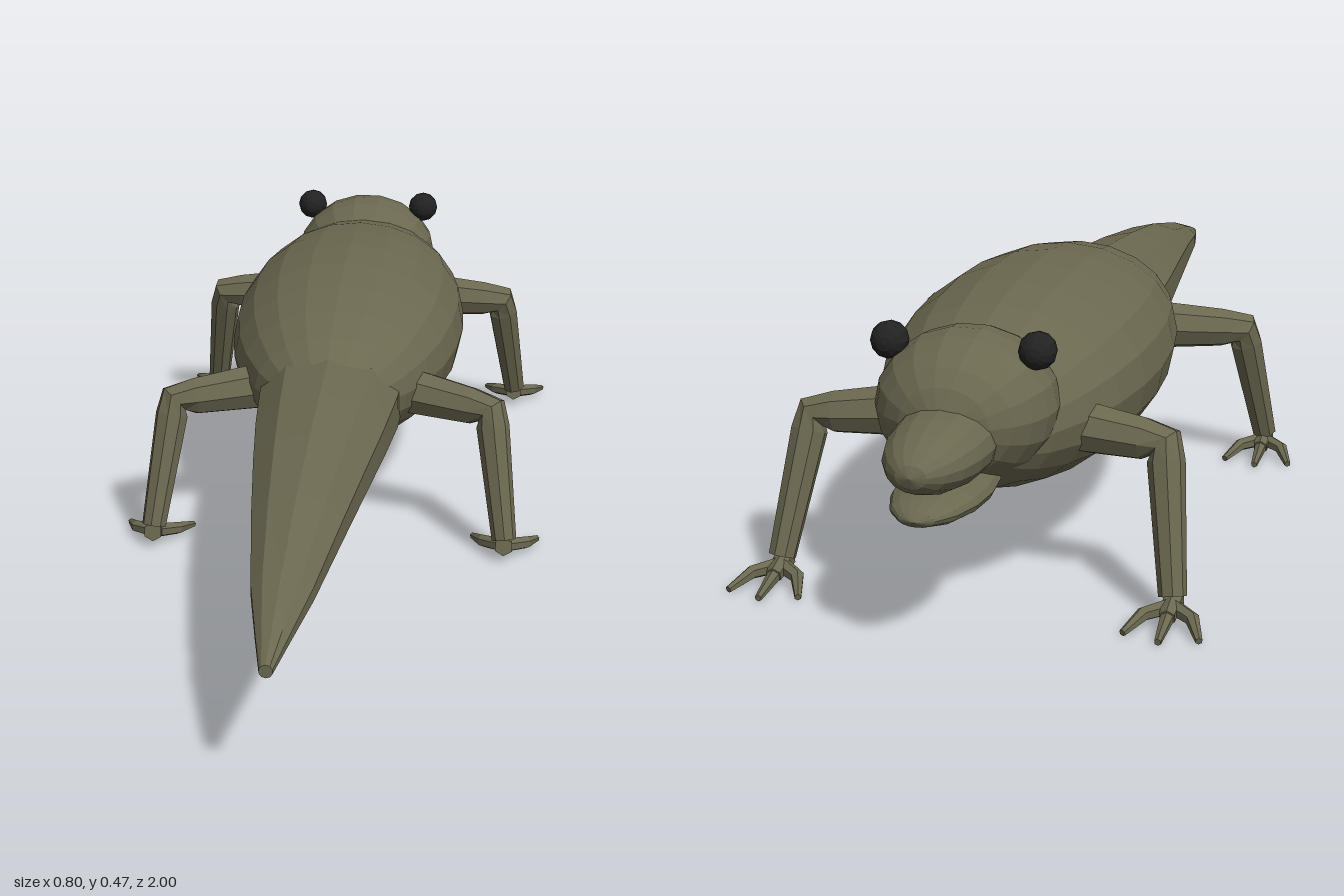
import * as THREE from 'three';

const skin = new THREE.MeshStandardMaterial({ color: 0x6b6850 });
skin.name = 'olive skin';
const eyeBlack = new THREE.MeshStandardMaterial({ color: 0x222222 });
eyeBlack.name = 'eye black';

const V = (x, y, z) => new THREE.Vector3(x, y, z);

function add(parent, geometry, name, material = skin) {
  // facets throughout: split the vertices so every face has its own normal
  const g = geometry.index ? geometry.toNonIndexed() : geometry;
  g.computeVertexNormals();
  const mesh = new THREE.Mesh(g, material);
  mesh.name = name;
  parent.add(mesh);
  return mesh;
}

// Faceted ellipsoid with its poles on the z axis
function ellipsoid(center, radii, sides, rings) {
  return new THREE.SphereGeometry(1, sides, rings)
    .rotateX(Math.PI / 2).scale(...radii).translate(...center);
}

// Lofted tube through sections { c: centre, u, v: half-axis vectors }, capped at both ends
function loft(sections, sides) {
  const pos = [], idx = [];
  for (const { c, u, v } of sections) {
    for (let i = 0; i < sides; i++) {
      const a = (i / sides) * Math.PI * 2;
      const p = c.clone().addScaledVector(u, Math.cos(a)).addScaledVector(v, Math.sin(a));
      pos.push(p.x, p.y, p.z);
    }
  }
  const last = sections.length - 1;
  for (let s = 0; s < last; s++) {
    for (let i = 0; i < sides; i++) {
      const j = (i + 1) % sides, a = s * sides, b = a + sides;
      idx.push(a + i, a + j, b + i, a + j, b + j, b + i);
    }
  }
  for (let i = 1; i < sides - 1; i++) {
    idx.push(0, i + 1, i, last * sides, last * sides + i, last * sides + i + 1);
  }
  const g = new THREE.BufferGeometry();
  g.setAttribute('position', new THREE.Float32BufferAttribute(pos, 3));
  g.setIndex(idx);
  return g;
}

// Limb along a polyline with one radius per point, mitred at the bends
function limb(points, radii, sides) {
  const ref = Math.abs(points[1].clone().sub(points[0]).normalize().y) > 0.8 ? V(0, 0, 1) : V(0, 1, 0);
  let u = ref;
  return loft(points.map((c, i) => {
    const inn = c.clone().sub(points[Math.max(i - 1, 0)]).normalize();
    const out = points[Math.min(i + 1, points.length - 1)].clone().sub(c).normalize();
    const t = inn.add(out).normalize();
    u = u.clone().addScaledVector(t, -u.dot(t)).normalize();
    const v = t.clone().cross(u);
    return { c, u: u.clone().multiplyScalar(radii[i]), v: v.multiplyScalar(radii[i]) };
  }), sides);
}

function leg(hip, knee, ankle, side, name) {
  const group = new THREE.Group();
  group.name = name;
  const at = (p, dx = 0, y = p[1], dz = 0) => V(side * (p[0] + dx), y, p[2] + dz);
  const h = at(hip), k = at(knee), a = at(ankle);
  // thigh and shin in one bent piece
  add(group, limb([h, h.clone().lerp(k, 0.75), k, k.clone().lerp(a, 0.12), a],
    [0.045, 0.036, 0.031, 0.031, 0.023], 8), 'legLimb');
  // foot: a small palm and three toes pointing forward
  add(group, limb([at(ankle, 0, 0.032, 0.015), at(ankle, 0, 0.02, -0.04)], [0.018, 0.014], 6), 'palm');
  for (const s of [-1, 0, 1]) {
    const reach = s ? -0.085 : -0.105;
    add(group, limb([at(ankle, 0, 0.026, -0.005), at(ankle, s * 0.04, 0.02, -0.035),
      at(ankle, s * 0.061, 0.007, reach)], [0.014, 0.012, 0.006], 6), 'toe');
  }
  return group;
}

export function createModel() {
  const model = new THREE.Group();
  model.name = 'lizard';

  // trunk, head and jaws
  add(model, ellipsoid([0, 0.302, -0.33], [0.23, 0.169, 0.5], 20, 14), 'body');
  add(model, ellipsoid([0, 0.34, -0.715], [0.148, 0.124, 0.143], 18, 12), 'head');
  add(model, ellipsoid([0, 0.312, -0.84], [0.082, 0.06, 0.16], 16, 10), 'upperJaw');
  add(model, ellipsoid([0, 0.238, -0.83], [0.076, 0.03, 0.155], 16, 8), 'lowerJaw');

  // tail: [z, half width, bottom, top]
  const tail = [
    [-0.1, 0.14, 0.17, 0.39], [0.1, 0.135, 0.178, 0.382], [0.25, 0.122, 0.19, 0.368],
    [0.4, 0.105, 0.198, 0.352], [0.6, 0.08, 0.203, 0.324], [0.8, 0.052, 0.205, 0.28],
    [0.92, 0.028, 0.204, 0.246], [1, 0.011, 0.2, 0.222],
  ];
  add(model, loft(tail.map(([z, w, lo, hi]) => (
    { c: V(0, (lo + hi) / 2, z), u: V(0, (hi - lo) / 2, 0), v: V(-w, 0, 0) })), 10), 'tail');

  for (const [side, label] of [[1, 'left'], [-1, 'right']]) {
    // bulging eyes
    add(model, ellipsoid([side * 0.121, 0.44, -0.735], [0.031, 0.031, 0.031], 12, 8), label + 'Eye', eyeBlack);
    model.add(leg([0.15, 0.28, -0.61], [0.3, 0.268, -0.625], [0.332, 0.04, -0.705], side, label + 'FrontLeg'));
    model.add(leg([0.15, 0.28, -0.01], [0.3, 0.268, 0.045], [0.332, 0.04, 0.122], side, label + 'HindLeg'));
  }
  return model;
}
